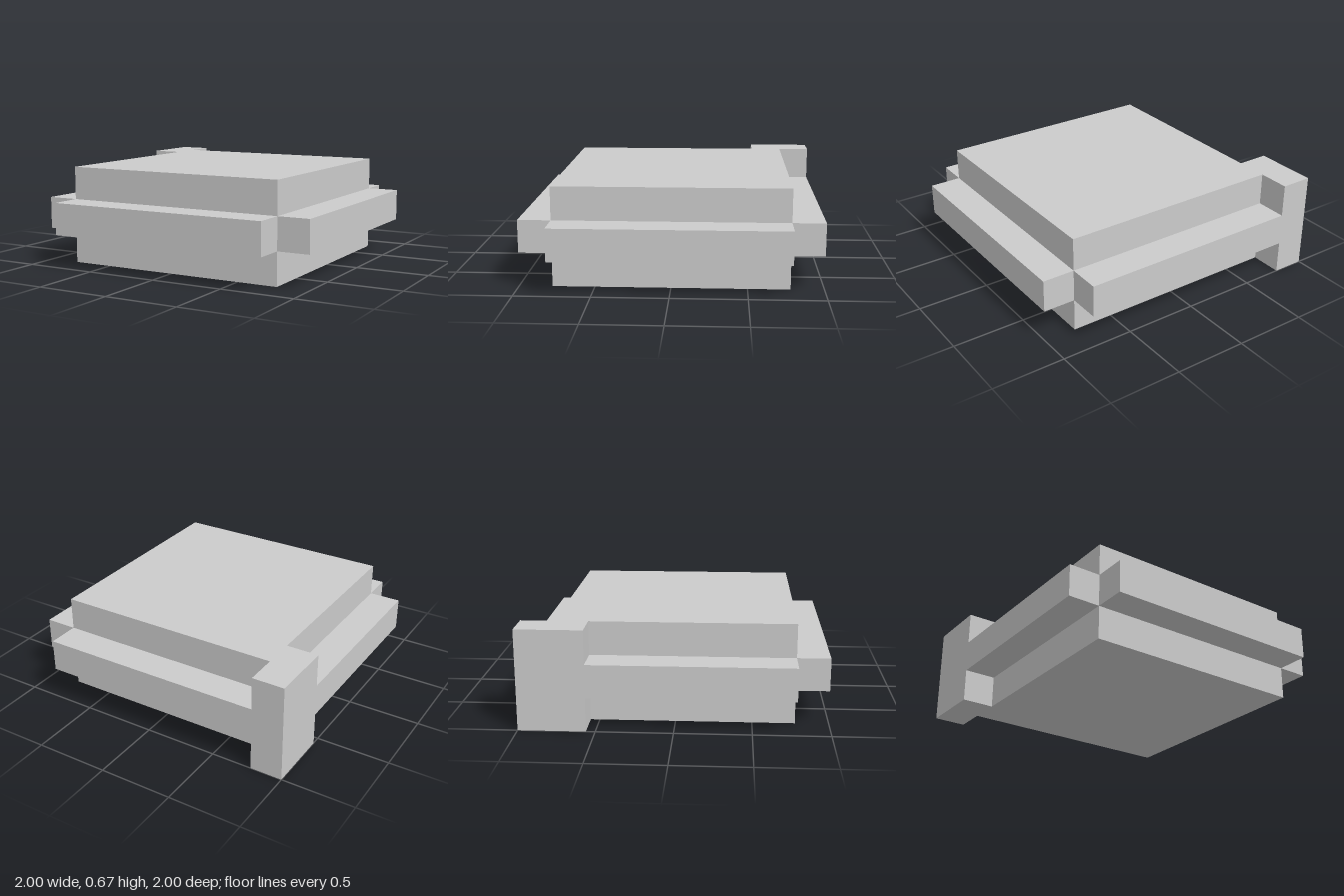
import * as THREE from 'three';

const IN = 0.78;          // half width of the central slab
const OUT = 1;            // reach of the side tongues
const H = 0.67;           // full height
const LOW = 0.225, HIGH = 0.445; // tongue bottom and top

export function createModel() {
  const model = new THREE.Group();
  const material = new THREE.MeshStandardMaterial({ color: 0xcccccc, flatShading: true });

  const add = (name, geometry) => {
    const mesh = new THREE.Mesh(geometry, material);
    mesh.name = name;
    model.add(mesh);
  };

  // Central slab with the full-height corner post, as one outline in x and z
  const outline = new THREE.Shape([
    [-IN, IN], [-IN, -0.56], [-OUT, -0.56], [-OUT, -OUT],
    [-IN, -OUT], [-IN, -IN], [IN, -IN], [IN, IN],
  ].map(([x, z]) => new THREE.Vector2(x, z)));
  const slab = new THREE.ExtrudeGeometry(outline, { depth: H, bevelEnabled: false });
  slab.rotateX(Math.PI / 2).translate(0, H, 0);
  add('slabWithCornerPost', slab);

  // Tongues at mid height on the four sides: x and z ranges
  const tongues = {
    frontTongue: [-IN, IN, IN, OUT],
    backTongue: [-IN, IN, -OUT, -IN],
    leftTongue: [IN, OUT, -IN, IN],
    rightTongue: [-OUT, -IN, -0.56, IN],
  };
  for (const [name, [x0, x1, z0, z1]] of Object.entries(tongues)) {
    const box = new THREE.BoxGeometry(x1 - x0, HIGH - LOW, z1 - z0);
    box.translate((x0 + x1) / 2, (LOW + HIGH) / 2, (z0 + z1) / 2);
    add(name, box);
  }
  return model;
}
